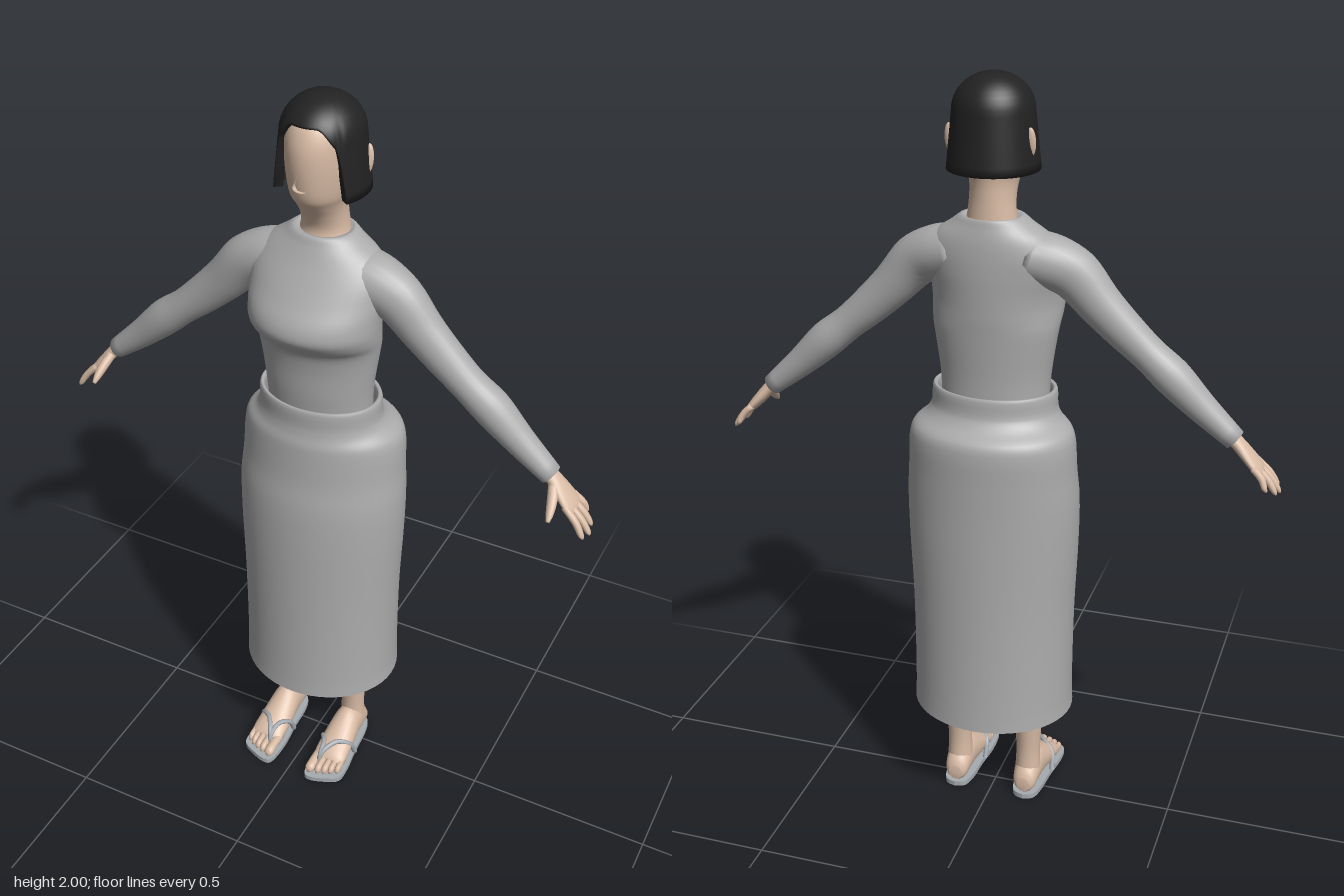
import * as THREE from 'three';

const V = (x, y, z) => new THREE.Vector3(x, y, z);
const X = V(1, 0, 0), Y = V(0, 1, 0), Z = V(0, 0, 1);
const mat = (name, color, side = THREE.FrontSide) => {
  const m = new THREE.MeshStandardMaterial({ color, side });
  m.name = name;
  return m;
};

// Smooth surface through rows of points; each row is a closed loop
function skin(rows, cap) {
  const n = rows[0].length, pos = [], idx = [];
  rows.forEach(r => r.forEach(p => pos.push(p.x, p.y, p.z)));
  for (let i = 0; i < rows.length - 1; i++) {
    for (let j = 0; j < n; j++) {
      const a = i * n + j, b = i * n + (j + 1) % n;
      idx.push(a, a + n, b, b, a + n, b + n);
    }
  }
  if (cap) {
    [0, rows.length - 1].forEach((r, end) => {
      const c = rows[r].reduce((s, p) => s.add(p), V(0, 0, 0)).divideScalar(n);
      const k = pos.length / 3;
      pos.push(c.x, c.y, c.z);
      for (let j = 0; j < n; j++) {
        const a = r * n + j, b = r * n + (j + 1) % n;
        if (end) idx.push(a, k, b); else idx.push(a, b, k);
      }
    });
  }
  const g = new THREE.BufferGeometry();
  g.setAttribute('position', new THREE.Float32BufferAttribute(pos, 3));
  g.setIndex(idx);
  g.computeVertexNormals();
  return g;
}

// Elliptical sections [x, y, z, ru, rv] along a path; v is the direction of rv
function limb(pts, { v = Z, dir = null, n = 24, sub = 4, cap = true } = {}) {
  const c = pts.map(p => V(p[0], p[1], p[2]));
  const rings = pts.map((p, i) => {
    const d = dir ? dir.clone()
      : c[Math.min(i + 1, c.length - 1)].clone().sub(c[Math.max(i - 1, 0)]).normalize();
    const u = d.clone().cross(v).normalize(), w = u.clone().cross(d);
    return Array.from({ length: n }, (_, j) => {
      const a = j / n * Math.PI * 2;
      return c[i].clone().addScaledVector(u, Math.cos(a) * p[3]).addScaledVector(w, Math.sin(a) * p[4]);
    });
  });
  const curves = rings[0].map((_, j) => new THREE.CatmullRomCurve3(rings.map(r => r[j])));
  const count = (pts.length - 1) * sub;
  const rows = Array.from({ length: count + 1 }, (_, i) => curves.map(k => k.getPoint(i / count)));
  return skin(rows, cap);
}

// Upright body from [y, half width, front z, back z]
const body = (list, opt = {}) => limb(
  list.map(([y, rx, f, b]) => [0, y, (f + b) / 2, rx, (f - b) / 2]), { dir: Y, n: 40, ...opt });

function mirrored(geo) {
  const g = geo.clone().scale(-1, 1, 1);
  if (!g.index) g.setIndex([...Array(g.attributes.position.count).keys()]);
  const a = g.index.array;
  for (let i = 0; i < a.length; i += 3) [a[i], a[i + 1]] = [a[i + 1], a[i]];
  g.computeVertexNormals();
  return g;
}

// Bobbed hair: a dome whose lower edge rises over the face
function hairGeometry() {
  const n = 64, m = 16, rows = [];
  for (let k = m + 1; k >= 0; k--) {
    const row = [];
    for (let j = 0; j < n; j++) {
      const a = j / n * Math.PI * 2, s = Math.sin(a);
      const edge = 1.772 + 0.13 * THREE.MathUtils.smoothstep(s, 0.55, 0.68)
        + 0.048 * THREE.MathUtils.smoothstep(s, 0.66, 0.95);
      const h = (2 - edge) * Math.pow(Math.min(k, m) / m, 1.6);
      let r = h < 0.09 ? 0.1 * Math.sqrt(1 - (1 - h / 0.09) ** 2) : 0.1 + (h - 0.09) * 0.1;
      if (k > m) r *= 0.8;
      row.push(V(r * Math.cos(a), 2 - h, -0.02 + r * s * (s > 0 ? 1.15 : 1)));
    }
    rows.push(row);
  }
  return skin(rows, false);
}

export function createModel() {
  const skinMat = mat('skin', 0xd8bba5), hairMat = mat('hair', 0x222222, THREE.DoubleSide);
  const clothMat = mat('grey cloth', 0xacacac, THREE.DoubleSide), sandalMat = mat('sandal grey', 0xa6abb0);
  const model = new THREE.Group();
  const add = (name, geo, m) => {
    const mesh = new THREE.Mesh(geo, m);
    mesh.name = name;
    model.add(mesh);
  };
  const pair = (name, geo, m) => {
    add('left ' + name, geo, m);
    add('right ' + name, mirrored(geo), m);
  };

  // Head and neck
  add('head', body([
    [1.63, 0.068, 0.035, -0.088], [1.67, 0.06, 0.025, -0.086], [1.71, 0.057, 0.04, -0.085],
    [1.745, 0.06, 0.066, -0.086], [1.77, 0.067, 0.084, -0.09], [1.82, 0.075, 0.094, -0.1],
    [1.88, 0.079, 0.096, -0.108], [1.92, 0.078, 0.087, -0.105], [1.95, 0.066, 0.069, -0.085],
    [1.975, 0.035, 0.025, -0.05],
  ]), skinMat);
  add('nose', limb([
    [0, 1.868, 0.092, 0.004, 0.004], [0, 1.835, 0.096, 0.01, 0.012],
    [0, 1.812, 0.098, 0.018, 0.017], [0, 1.8, 0.092, 0.011, 0.009],
  ], { dir: Y, n: 14 }), skinMat);
  add('hair', hairGeometry(), hairMat);
  pair('ear', new THREE.SphereGeometry(1, 14, 10).scale(0.013, 0.036, 0.009)
    .rotateX(-0.12).translate(0.1, 1.845, -0.047), skinMat);

  // Top with sleeves
  add('shirt body', body([
    [1.18, 0.14, 0.093, -0.1], [1.25, 0.144, 0.1, -0.1], [1.33, 0.155, 0.105, -0.104],
    [1.38, 0.163, 0.117, -0.107], [1.41, 0.167, 0.146, -0.109], [1.44, 0.169, 0.164, -0.11],
    [1.475, 0.171, 0.158, -0.111], [1.52, 0.176, 0.128, -0.112], [1.57, 0.176, 0.095, -0.111],
    [1.61, 0.15, 0.07, -0.107], [1.642, 0.105, 0.053, -0.1], [1.662, 0.076, 0.042, -0.094],
    [1.658, 0.062, 0.028, -0.088],
  ], { cap: false }), clothMat);
  pair('sleeve', limb([
    [0.09, 1.565, -0.02, 0.066, 0.075], [0.15, 1.55, -0.015, 0.068, 0.068], [0.205, 1.522, -0.01, 0.065, 0.058],
    [0.27, 1.452, -0.01, 0.056, 0.05], [0.335, 1.39, -0.01, 0.05, 0.046], [0.395, 1.338, -0.01, 0.045, 0.045],
    [0.455, 1.288, -0.013, 0.048, 0.048], [0.53, 1.218, -0.014, 0.039, 0.039], [0.618, 1.143, -0.015, 0.028, 0.03],
  ]), clothMat);

  // Hands
  pair('palm', limb([
    [0.595, 1.16, -0.015, 0.018, 0.022], [0.625, 1.135, -0.015, 0.017, 0.025],
    [0.65, 1.108, -0.014, 0.016, 0.034], [0.68, 1.075, -0.013, 0.012, 0.04], [0.69, 1.064, -0.013, 0.007, 0.036],
  ]), skinMat);
  [[-0.044, 0.708, 1.033, -0.058], [-0.023, 0.729, 1.016, -0.03],
    [-0.001, 0.735, 1.01, 0.0], [0.019, 0.727, 1.015, 0.029]].forEach(([z0, x, y, z1], i) => {
    pair('finger ' + (i + 1), limb([
      [0.67, 1.085, z0, 0.009, 0.01], [(0.67 + x) / 2 + 0.005, (1.085 + y) / 2 + 0.002, (z0 + z1) / 2, 0.009, 0.0098],
      [x - 0.005, y + 0.008, z1, 0.007, 0.008], [x, y, z1, 0.003, 0.004],
    ], { n: 10, sub: 3 }), skinMat);
  });
  pair('thumb', limb([
    [0.63, 1.128, 0.0, 0.012, 0.012], [0.64, 1.105, 0.027, 0.013, 0.013],
    [0.646, 1.082, 0.055, 0.01, 0.01], [0.648, 1.068, 0.072, 0.005, 0.005],
  ], { v: X, n: 12 }), skinMat);

  // Long open skirt with waistband
  add('skirt', body([
    [0.293, 0.219, 0.176, -0.211], [0.34, 0.217, 0.173, -0.208], [0.6, 0.219, 0.166, -0.198],
    [0.8, 0.227, 0.16, -0.194], [0.92, 0.228, 0.152, -0.192], [1.0, 0.222, 0.139, -0.192],
    [1.09, 0.216, 0.131, -0.191], [1.115, 0.206, 0.128, -0.182], [1.14, 0.178, 0.121, -0.15],
    [1.165, 0.165, 0.117, -0.132], [1.215, 0.16, 0.115, -0.126], [1.213, 0.15, 0.106, -0.117],
    [1.16, 0.15, 0.106, -0.117],
  ], { cap: false, n: 48 }), clothMat);

  // Legs and feet
  pair('leg', limb([
    [0.1, 0.06, -0.018, 0.036, 0.036], [0.1, 0.13, -0.017, 0.033, 0.032], [0.1, 0.2, -0.017, 0.036, 0.036],
    [0.099, 0.3, -0.02, 0.045, 0.043], [0.098, 0.42, -0.022, 0.055, 0.055], [0.096, 0.85, -0.02, 0.075, 0.08],
  ], { dir: Y }), skinMat);
  pair('foot', limb([
    [0.1, 0.04, -0.068, 0.018, 0.02], [0.1, 0.047, -0.057, 0.03, 0.034], [0.1, 0.062, -0.025, 0.036, 0.05],
    [0.1, 0.067, 0.015, 0.039, 0.056], [0.1, 0.06, 0.05, 0.043, 0.048], [0.101, 0.046, 0.1, 0.047, 0.034],
    [0.102, 0.036, 0.14, 0.047, 0.022], [0.102, 0.03, 0.155, 0.042, 0.014],
  ], { v: Y, dir: Z }), skinMat);
  [[0.067, 0.204, 0.0135], [0.09, 0.198, 0.0095], [0.108, 0.192, 0.009],
    [0.125, 0.184, 0.0085], [0.141, 0.174, 0.008]].forEach(([x, z, r], i) => {
    pair('toe ' + (i + 1), limb([
      [x, 0.034, 0.125, r, 0.013], [x, 0.033, z - 0.03, r, 0.012],
      [x, 0.028, z - 0.008, r, 0.0125], [x, 0.025, z, r * 0.5, 0.006],
    ], { v: Y, dir: Z, n: 12 }), skinMat);
  });

  // Sandals: flat sole and forked strap
  const sole = new THREE.Shape();
  sole.moveTo(0.1, -0.075);
  sole.splineThru([[0.128, -0.062], [0.14, -0.02], [0.147, 0.06], [0.156, 0.13], [0.153, 0.178],
    [0.12, 0.2], [0.075, 0.214], [0.053, 0.2], [0.048, 0.13], [0.056, 0.05], [0.06, -0.02],
    [0.072, -0.062], [0.1, -0.075]].map(p => new THREE.Vector2(...p)));
  pair('sandal sole', new THREE.ExtrudeGeometry(sole, { depth: 0.014, bevelEnabled: false, curveSegments: 48 })
    .rotateX(Math.PI / 2).translate(0, 0.014, 0), sandalMat);
  const strap = pts => new THREE.TubeGeometry(
    new THREE.CatmullRomCurve3(pts.map(p => V(...p))), 20, 0.007, 8);
  pair('sandal inner strap', strap([[0.079, 0.012, 0.165], [0.081, 0.057, 0.155], [0.074, 0.071, 0.118],
    [0.056, 0.058, 0.088], [0.053, 0.012, 0.065]]), sandalMat);
  pair('sandal outer strap', strap([[0.079, 0.012, 0.165], [0.083, 0.057, 0.155], [0.11, 0.077, 0.112],
    [0.14, 0.062, 0.088], [0.148, 0.012, 0.065]]), sandalMat);

  return model;
}
